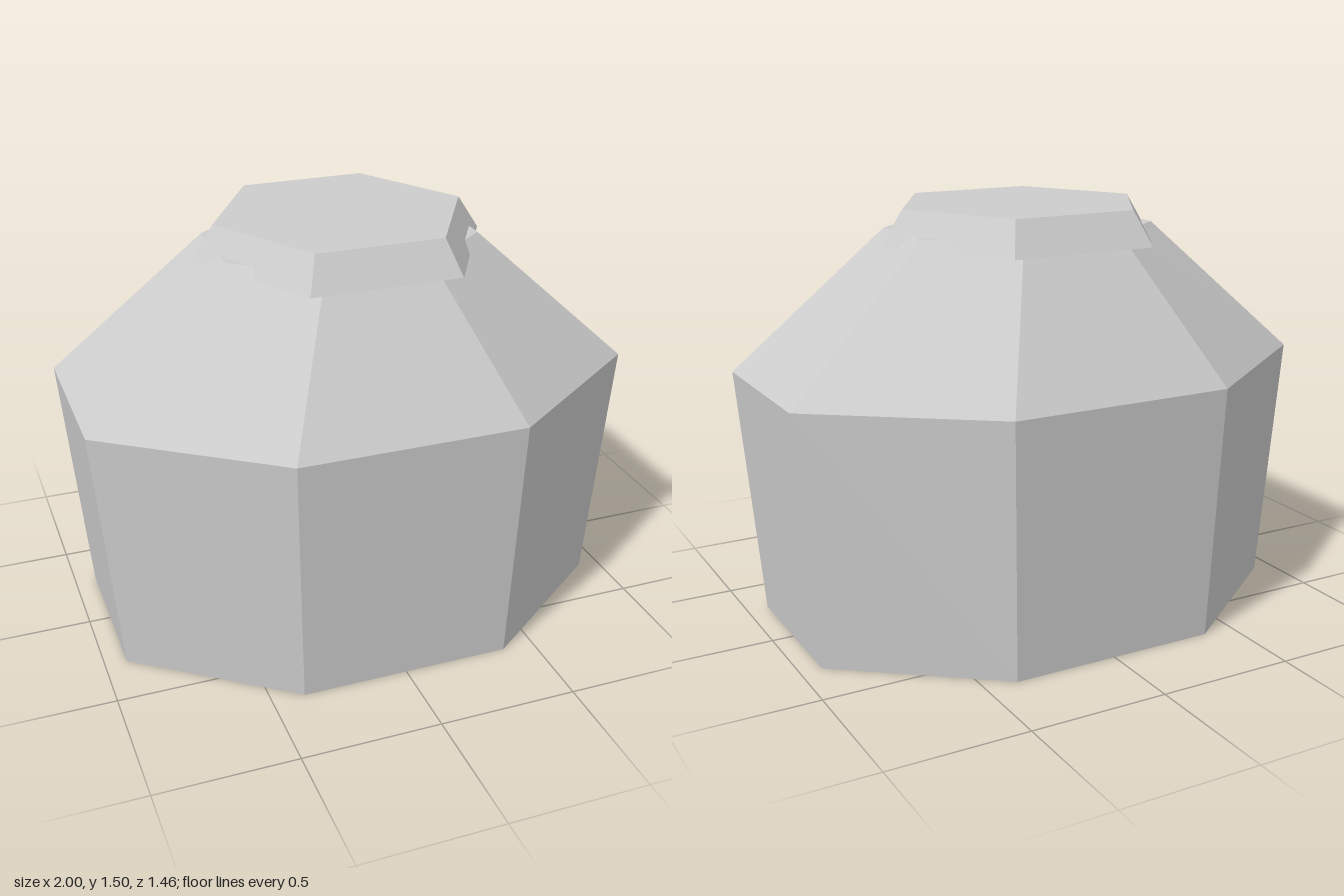
import * as THREE from 'three';

// Closed solid lofted through rings of [x, z] corners, counter-clockwise from above
function loft(rings) {
  const n = rings[0].points.length;
  const at = (r, i) => {
    const [x, z] = rings[r].points[i % n];
    return [x, rings[r].y, z];
  };
  const pos = [];
  const tri = (a, b, c) => pos.push(...a, ...b, ...c);
  const last = rings.length - 1;
  for (let r = 0; r < last; r++) {
    for (let i = 0; i < n; i++) {
      tri(at(r, i), at(r, i + 1), at(r + 1, i));
      tri(at(r, i + 1), at(r + 1, i + 1), at(r + 1, i));
    }
  }
  for (let i = 1; i < n - 1; i++) {
    tri(at(0, 0), at(0, i + 1), at(0, i));
    tri(at(last, 0), at(last, i), at(last, i + 1));
  }
  const geometry = new THREE.BufferGeometry();
  geometry.setAttribute('position', new THREE.Float32BufferAttribute(pos, 3));
  geometry.computeVertexNormals();
  return geometry;
}

// Octagon ring: front corner (fx, fz) and side corner (sx, sz), mirrored both ways
const octagon = (y, fx, fz, sx, sz) => ({
  y,
  points: [[fx, fz], [sx, sz], [sx, -sz], [fx, -fz], [-fx, -fz], [-sx, -sz], [-sx, sz], [-fx, fz]],
});

// Hexagon ring with points on the x axis
const hexagon = (y, radius) => ({
  y,
  points: Array.from({ length: 6 }, (_, i) => {
    const a = (i * Math.PI) / 3;
    return [radius * Math.cos(a), -radius * Math.sin(a)];
  }),
});

export function createModel() {
  const group = new THREE.Group();
  const grey = new THREE.MeshStandardMaterial({ color: 0xcccccc });
  grey.name = 'lightGrey';

  const add = (name, rings) => {
    const mesh = new THREE.Mesh(loft(rings), grey);
    mesh.name = name;
    group.add(mesh);
  };

  // Flared wall and sloping shoulder
  add('body', [
    octagon(0, 0.383, 0.693, 0.922, 0.288),
    octagon(0.92, 0.41, 0.73, 1, 0.303),
    octagon(1.417, 0.19, 0.383, 0.463, 0.16),
  ]);

  // Six-sided lid, pierced by the shoulder's side corners
  add('lid', [hexagon(1.378, 0.54), hexagon(1.5, 0.46)]);

  return group;
}
